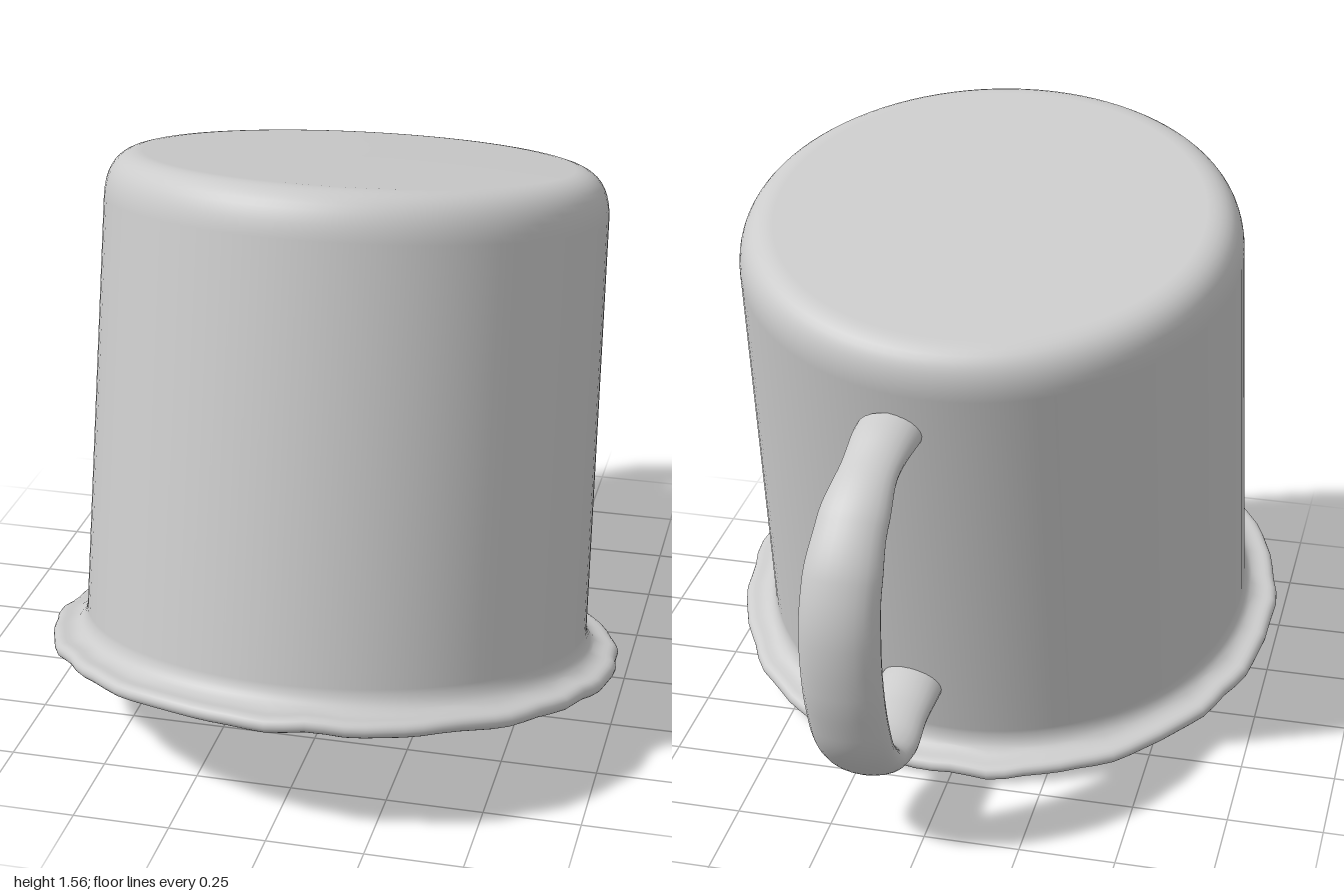
import * as THREE from 'three';
import { ParametricGeometry } from 'three/addons/geometries/ParametricGeometry.js';

const TILT = -0.207;
const material = new THREE.MeshStandardMaterial({ color: 0xcccccc, side: THREE.DoubleSide });

// Cup shell: inside floor, inside wall, rolled lip, outside wall, rounded base
function cupGeometry() {
  const p = new THREE.Path();
  p.moveTo(0, 1.265);
  p.lineTo(0.54, 1.265);
  p.quadraticCurveTo(0.625, 1.265, 0.628, 1.17);
  p.lineTo(0.64, 0.06);
  p.quadraticCurveTo(0.642, 0.005, 0.68, -0.012);
  p.lineTo(0.73, -0.018);
  p.bezierCurveTo(0.765, -0.018, 0.765, 0.024, 0.73, 0.024);
  p.quadraticCurveTo(0.672, 0.024, 0.668, 0.08);
  p.lineTo(0.655, 1.18);
  p.bezierCurveTo(0.654, 1.25, 0.625, 1.298, 0.56, 1.3);
  p.lineTo(0, 1.303);
  const geo = new THREE.LatheGeometry(p.getPoints(10), 96);

  // Slight hand-beaten waviness, only on the lip
  const pos = geo.attributes.position;
  for (let i = 0; i < pos.count; i++) {
    const x = pos.getX(i), z = pos.getZ(i), r = Math.hypot(x, z);
    if (r < 0.69) continue;
    const a = Math.atan2(z, x);
    const k = 1 + 0.004 * Math.sin(17 * a) + 0.003 * Math.sin(29 * a + 1);
    const dy = 0.003 * Math.sin(13 * a + 2) + 0.002 * Math.sin(23 * a);
    pos.setXYZ(i, x * k, pos.getY(i) + dy, z * k);
  }
  return geo;
}

// Handle: an oval section swept along a curve, x leaning out with distance
function handleGeometry() {
  const centres = [
    [1.085, -0.59], [1.07, -0.66], [1.02, -0.77], [0.925, -0.865], [0.8, -0.922],
    [0.65, -0.935], [0.48, -0.912], [0.33, -0.855], [0.24, -0.765], [0.222, -0.67],
    [0.24, -0.55], [0.252, -0.415],
  ];
  const curve = new THREE.CatmullRomCurve3(
    centres.map(([y, z]) => new THREE.Vector3(0.115 + 0.12 * Math.max(0, -z - 0.6), y, z)));
  // Section half sizes along the handle: thickness in its plane, width across it
  const thick = [0.055, 0.04, 0.05, 0.06, 0.065, 0.063, 0.06, 0.05, 0.044, 0.043, 0.055];
  const wide = [0.085, 0.075, 0.09, 0.1, 0.103, 0.103, 0.102, 0.098, 0.09, 0.078, 0.085];
  const sample = (list, u) => {
    const f = u * (list.length - 1), i = Math.min(Math.floor(f), list.length - 2);
    return THREE.MathUtils.lerp(list[i], list[i + 1], THREE.MathUtils.smoothstep(f - i, 0, 1));
  };
  const across = new THREE.Vector3(1, 0, 0);
  return new ParametricGeometry((u, v, target) => {
    const a = v * Math.PI * 2;
    const normal = curve.getTangentAt(u).cross(across).normalize();
    target.copy(curve.getPointAt(u))
      .addScaledVector(normal, Math.cos(a) * sample(thick, u))
      .addScaledVector(across, Math.sin(a) * sample(wide, u));
  }, 64, 24);
}

export function createModel() {
  const group = new THREE.Group();
  group.name = 'upturnedMug';

  const cup = new THREE.Mesh(cupGeometry(), material);
  cup.name = 'cup';
  cup.rotation.x = TILT;
  cup.position.set(0, 0.175, 0.26);
  group.add(cup);

  const handle = new THREE.Mesh(handleGeometry(), material);
  handle.name = 'handle';
  group.add(handle);

  return group;
}
